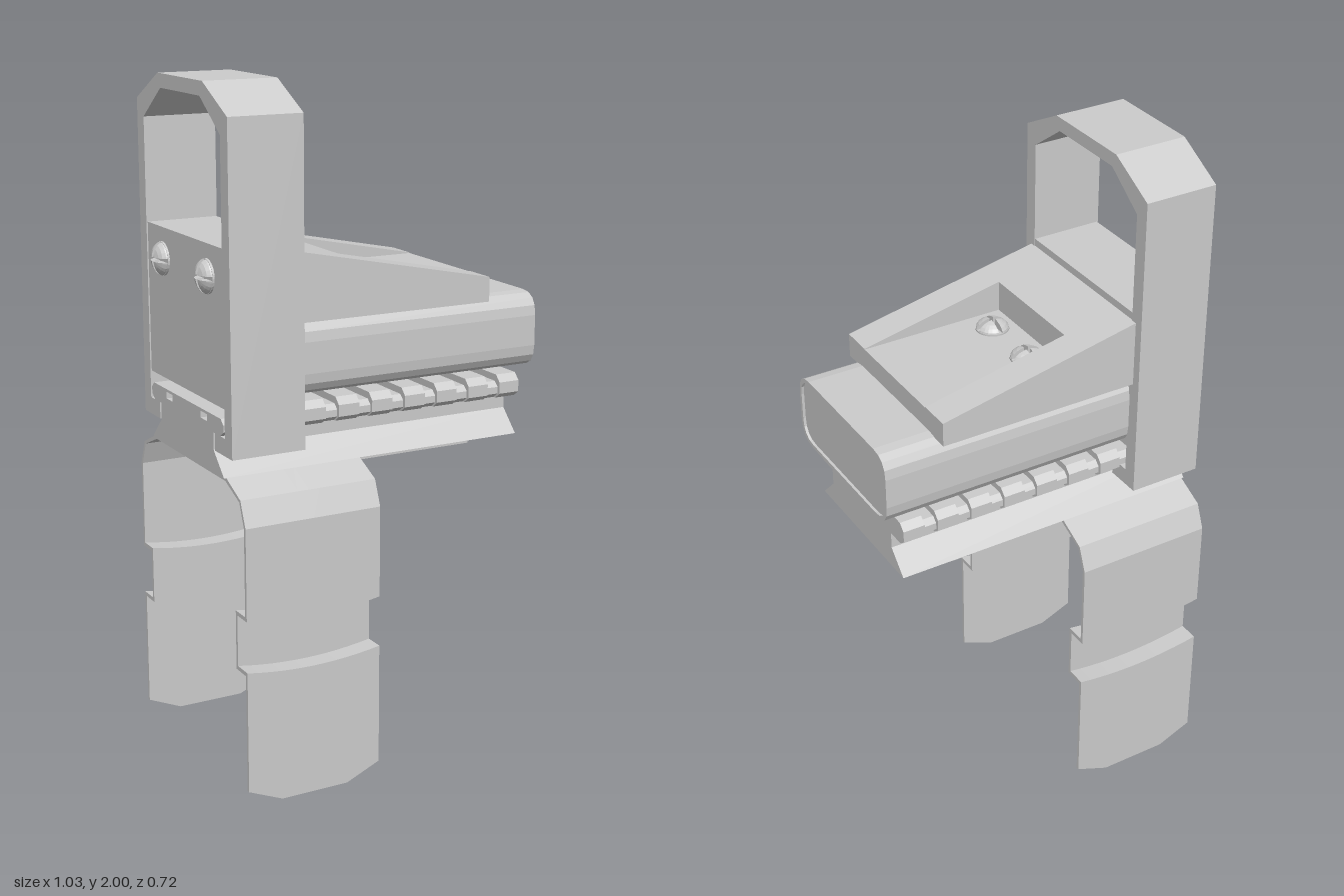
import * as THREE from 'three';
import { ConvexGeometry } from 'three/addons/geometries/ConvexGeometry.js';

const material = new THREE.MeshStandardMaterial({ color: 0xcccccc, flatShading: true });

const toShape = (points) => new THREE.Shape(points.map(([a, b]) => new THREE.Vector2(a, b)));
// Completes a right-hand (+) half outline with its mirror image
const mirrored = (half) => [...half, ...half.map(([z, y]) => [-z, y]).reverse()];

function add(parent, name, geometry, x = 0, y = 0, z = 0) {
  const mesh = new THREE.Mesh(geometry, material);
  mesh.name = name;
  mesh.position.set(x, y, z);
  parent.add(mesh);
  return mesh;
}

const box = (parent, name, x0, x1, y0, y1, z0, z1) => add(parent, name,
  new THREE.BoxGeometry(x1 - x0, y1 - y0, z1 - z0), (x0 + x1) / 2, (y0 + y1) / 2, (z0 + z1) / 2);

// Extrudes a shape drawn in (-z, y) along x
function extrudeX(shape, x0, x1, steps = 1) {
  const g = new THREE.ExtrudeGeometry(shape, { depth: x1 - x0, bevelEnabled: false, steps, curveSegments: 4 });
  return g.rotateY(Math.PI / 2).translate(x0, 0, 0);
}

// Extrudes a side profile drawn in (x, y) along z
const extrudeZ = (points, z0, z1) =>
  new THREE.ExtrudeGeometry(toShape(points), { depth: z1 - z0, bevelEnabled: false }).translate(0, 0, z0);

function roundedRect(w, y0, y1, r) {
  const s = new THREE.Shape();
  s.moveTo(-w + r, y0);
  s.lineTo(w - r, y0);
  s.quadraticCurveTo(w, y0, w, y0 + r);
  s.lineTo(w, y1 - r);
  s.quadraticCurveTo(w, y1, w - r, y1);
  s.lineTo(-w + r, y1);
  s.quadraticCurveTo(-w, y1, -w, y1 - r);
  s.lineTo(-w, y0 + r);
  s.quadraticCurveTo(-w, y0, -w + r, y0);
  return s;
}

// Domed screw head: four dome quarters leave a cross slot over a thin base
function createScrew(name) {
  const screw = new THREE.Group();
  screw.name = name;
  const r = 0.049, h = 0.032, slot = 0.006;
  add(screw, 'screwBase', new THREE.CylinderGeometry(r, r, 0.012, 28), 0, 0.004, 0);
  const points = [];
  for (let i = 0; i <= 5; i++) {
    const a = (i / 5) * Math.PI / 2;
    for (let j = 0; j <= 6; j++) {
      const b = (j / 6) * Math.PI / 2;
      const x = Math.max(slot, r * Math.cos(a) * Math.cos(b));
      const z = Math.max(slot, r * Math.cos(a) * Math.sin(b));
      points.push(new THREE.Vector3(x, 0.004 + h * Math.sin(a), z));
      if (i === 0) points.push(new THREE.Vector3(x, 0, z));
    }
  }
  points.push(new THREE.Vector3(slot, 0, slot));
  const quarter = new ConvexGeometry(points);
  for (let k = 0; k < 4; k++) add(screw, 'screwQuarter', quarter).rotation.y = k * Math.PI / 2;
  return screw;
}

export function createModel() {
  const model = new THREE.Group();
  model.name = 'reflexSight';
  const sight = new THREE.Group();
  sight.name = 'sightAssembly';
  sight.position.z = -0.004;
  model.add(sight);

  // Window frame with feet hooked under the rail head
  const frame = toShape(mirrored([
    [0.19, 1.0], [0.3, 1.0], [0.3, 1.92], [0.148, 2.0],
  ]).concat([
    [-0.19, 1.05], [-0.255, 1.05], [-0.255, 1.87], [-0.13, 1.96],
    [0.13, 1.96], [0.255, 1.87], [0.255, 1.05], [0.19, 1.05],
  ]));
  add(sight, 'windowFrame', extrudeX(frame, -0.492, -0.27));
  box(sight, 'rearBlock', -0.488, -0.272, 1.13, 1.57, -0.256, 0.256);

  // Main housing with a thin rim around its front face
  add(sight, 'housing', extrudeX(roundedRect(0.25, 1.145, 1.347, 0.06), -0.28, 0.502));
  const rim = roundedRect(0.26, 1.135, 1.357, 0.066);
  rim.holes.push(roundedRect(0.249, 1.146, 1.346, 0.059));
  add(sight, 'housingShell', extrudeX(rim, -0.28, 0.51));

  // Sloping top cover with a flat-floored pocket
  const top = (x) => 1.547 - (x + 0.27) * 0.205;
  const cover = [[-0.28, 1.35], [0.34, 1.35], [0.34, top(0.34)], [-0.28, top(-0.28)]];
  for (const s of [-1, 1]) {
    const edges = [s * 0.176, s * 0.273].sort((a, b) => a - b);
    add(sight, 'coverSide', extrudeZ(cover, ...edges));
  }
  add(sight, 'coverRear', extrudeZ(
    [[-0.28, 1.35], [-0.1, 1.35], [-0.1, top(-0.1)], [-0.28, top(-0.28)]], -0.176, 0.176));
  box(sight, 'pocketFloor', -0.1, 0.34, 1.35, 1.42, -0.176, 0.176);

  // Screws in the pocket and on the rear face
  for (const s of [-1, 1]) {
    const pocketScrew = createScrew('pocketScrew');
    pocketScrew.position.set(-0.03, 1.415, s * 0.095);
    const rearScrew = createScrew('rearScrew');
    rearScrew.position.set(-0.484, 1.48, s * 0.15);
    rearScrew.rotation.z = Math.PI / 2;
    sight.add(pocketScrew, rearScrew);
  }

  // Mounting rail with two through slots
  const rail = toShape(mirrored([
    [0.245, 0.935], [0.18, 1.0], [0.18, 1.05], [0.225, 1.05],
    [0.246, 1.065], [0.246, 1.085], [0.23, 1.1], [0.05, 1.1],
  ]));
  for (const s of [-1, 1]) {
    const z = s * 0.118;
    rail.holes.push(toShape([[z - 0.022, 1.072], [z + 0.022, 1.072], [z + 0.022, 1.092], [z - 0.022, 1.092]]));
  }
  add(sight, 'rail', extrudeX(rail, -0.492, 0.46));

  // Rail teeth, one row on each side
  for (const s of [-1, 1]) {
    const tooth = toShape([[0.05, 1.097], [0.2, 1.097], [0.2, 1.05], [0.235, 1.05], [0.256, 1.066],
      [0.256, 1.1], [0.236, 1.12], [0.05, 1.12]].map(([z, y]) => [s * z, y]));
    for (let i = 0; i < 7; i++) {
      const x = 0.46 - i * 0.107;
      add(sight, 'railTooth', extrudeX(tooth, x - 0.066, x));
    }
  }

  // Plate under the rail
  box(sight, 'basePlate', -0.07, 0.3, 0.925, 0.937, -0.235, 0.235);

  // Spring clip: one bent strip with two stepped legs
  const outer = [[0.24, 0.937], [0.332, 0.895], [0.362, 0.822], [0.362, 0.545], [0.302, 0.545],
    [0.302, 0.395], [0.362, 0.395], [0.362, 0]];
  const inner = [[0.352, 0], [0.352, 0.383], [0.292, 0.383], [0.292, 0.557], [0.352, 0.557],
    [0.352, 0.82], [0.325, 0.888], [0.238, 0.925]];
  const clip = extrudeX(toShape(mirrored([...inner].reverse()).slice(0, 8)
    .concat([...outer].reverse(), outer.map(([z, y]) => [-z, y]),
      [...inner].map(([z, y]) => [-z, y]))), -0.485, -0.067, 12);
  // Bow the step edges and trim the lower corners
  const p = clip.attributes.position;
  for (let i = 0; i < p.count; i++) {
    const y = p.getY(i);
    const t = Math.abs((p.getX(i) + 0.276) / 0.209);
    if (y < 0.1) p.setY(i, y + 0.045 * Math.max(0, (t - 0.5) / 0.5));
    else if (y < 0.6) p.setY(i, y - 0.009 + 0.018 * t * t);
  }
  clip.computeVertexNormals();
  add(sight, 'springClip', clip);

  return model;
}
